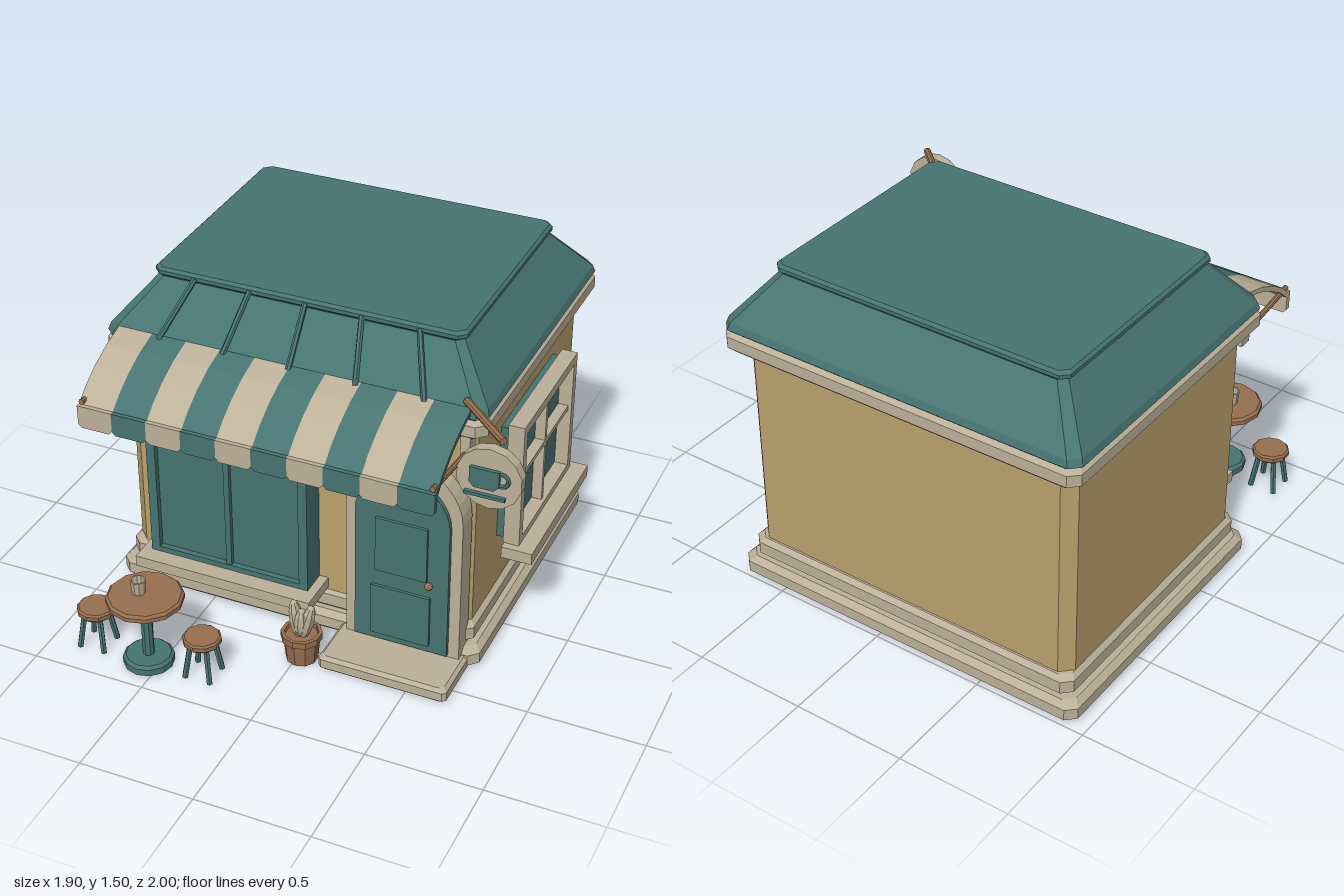
import * as THREE from 'three';

const mat = (name, color) => {
  const m = new THREE.MeshStandardMaterial({ color, flatShading: true });
  m.name = name;
  return m;
};

export function createModel() {
  const root = new THREE.Group();
  root.name = 'cafe';
  const teal = mat('teal', 0x477472);
  const wall = mat('ochre wall', 0xbaa26d);
  const cream = mat('cream', 0xbcb099);
  const wood = mat('wood', 0x976f50);

  const add = (name, geo, material, x = 0, y = 0, z = 0, parent = root) => {
    const m = new THREE.Mesh(geo, material);
    m.name = name;
    m.position.set(x, y, z);
    parent.add(m);
    return m;
  };
  // Box from its minimum and maximum corners
  const box = (name, material, x0, x1, y0, y1, z0, z1) =>
    add(name, new THREE.BoxGeometry(x1 - x0, y1 - y0, z1 - z0), material,
      (x0 + x1) / 2, (y0 + y1) / 2, (z0 + z1) / 2);
  // Round bar between two points
  const bar = (name, material, a, b, r, sides = 8, parent = root) => {
    const p = new THREE.Vector3(...a), q = new THREE.Vector3(...b);
    const m = add(name, new THREE.CylinderGeometry(r, r, p.distanceTo(q), sides), material, 0, 0, 0, parent);
    m.position.copy(p).add(q).multiplyScalar(0.5);
    m.quaternion.setFromUnitVectors(new THREE.Vector3(0, 1, 0), q.sub(p).normalize());
    return m;
  };
  // Upright turned part from [radius, y] points
  const turned = (name, material, pts, sides, x, z, parent = root) =>
    add(name, new THREE.LatheGeometry(pts.map(p => new THREE.Vector2(...p)), sides), material, x, 0, z, parent);
  // Stack of rectangles with cut corners: [y, half width, half depth, corner]
  const loft = (rings) => {
    const pos = [];
    const loops = rings.map(([y, w, d, c]) => [
      [w, y, c - d], [w, y, d - c], [w - c, y, d], [c - w, y, d],
      [-w, y, d - c], [-w, y, c - d], [c - w, y, -d], [w - c, y, -d]]);
    const tri = (...p) => p.forEach(v => pos.push(...v));
    for (let k = 0; k < loops.length - 1; k++) {
      for (let i = 0; i < 8; i++) {
        const j = (i + 1) % 8, lo = loops[k], hi = loops[k + 1];
        tri(lo[i], hi[i], hi[j]);
        tri(lo[i], hi[j], lo[j]);
      }
    }
    const bottom = loops[0], top = loops[loops.length - 1];
    for (let i = 1; i < 7; i++) {
      tri(bottom[0], bottom[i], bottom[i + 1]);
      tri(top[0], top[i + 1], top[i]);
    }
    const g = new THREE.BufferGeometry();
    g.setAttribute('position', new THREE.Float32BufferAttribute(pos, 3));
    g.computeVertexNormals();
    return g;
  };
  // Slab with bevelled upper and lower edges
  const slab = (w, d, y0, y1, b, c = 0.04) => loft([
    [y0, w - b, d - b, c], [y0 + b, w, d, c], [y1 - b, w, d, c], [y1, w - b, d - b, c]]);
  const extrude = (shape, depth) =>
    new THREE.ExtrudeGeometry(shape, { depth, bevelEnabled: false, curveSegments: 8 });

  // Building shell
  const cx = -0.115, cz = -0.32;
  add('foundation', slab(0.835, 0.675, 0, 0.1, 0.025), cream, cx, 0, cz);
  add('plinth', slab(0.795, 0.645, 0.1, 0.195, 0.02), cream, cx, 0, cz);
  add('walls', loft([[0.18, 0.775, 0.623, 0.05], [1.15, 0.775, 0.623, 0.05]]), wall, cx, 0, -0.313);
  add('cornice', slab(0.835, 0.685, 1.13, 1.23, 0.025), cream, cx, 0, cz);
  add('roof', loft([[1.225, 0.825, 0.67, 0.04], [1.235, 0.835, 0.68, 0.04],
    [1.265, 0.825, 0.67, 0.04], [1.46, 0.665, 0.51, 0.03]]), teal, cx, 0, cz);
  add('roofCap', slab(0.68, 0.52, 1.46, 1.5, 0.012, 0.03), teal, cx, 0, cz);

  // Fanned seams on the front roof slope
  for (let i = -2; i <= 2; i++) {
    bar('roofSeam', teal, [cx + i * 0.245, 1.48, 0.195], [cx + i * 0.29, 1.265, 0.36], 0.012, 6);
  }

  // Striped awning with cut-cornered valance flaps
  const curve = [[0.34, 1.275], [0.45, 1.245], [0.55, 1.2], [0.63, 1.15], [0.7, 1.09]];
  const profile = new THREE.Shape([
    ...curve.map(([z, y]) => new THREE.Vector2(z, y)),
    ...curve.slice().reverse().map(([z, y]) => new THREE.Vector2(z - 0.012, y - 0.018))]);
  const sw = 0.154;
  for (let i = 0; i < 10; i++) {
    const x = -0.885 + i * sw, m = i % 2 ? teal : cream;
    const g = extrude(profile, sw);
    g.rotateY(-Math.PI / 2);
    add('awningStripe', g, m, x + sw, 0, 0);
    const flap = new THREE.Shape([[0, 1.1], [0, 1.015], [0.015, 1], [sw - 0.015, 1], [sw, 1.015], [sw, 1.1]]
      .map(p => new THREE.Vector2(...p)));
    add('awningFlap', extrude(flap, 0.025), m, x, 0, 0.682);
  }
  for (const x of [-0.87, 0.64]) {
    bar('awningArm', wood, [x, 1.065, 0.33], [x, 1.115, 0.695], 0.012);
    box('awningMount', cream, x - 0.02, x + 0.02, 1.04, 1.16, 0.3, 0.36);
  }

  // Shop window
  box('shopWindowPane', teal, -0.73, -0.025, 0.25, 0.97, 0.29, 0.405);
  box('shopWindowJamb', teal, -0.745, -0.705, 0.25, 0.985, 0.3, 0.43);
  box('shopWindowJamb', teal, -0.05, -0.01, 0.25, 0.985, 0.3, 0.43);
  box('shopWindowHead', teal, -0.705, -0.05, 0.945, 0.985, 0.3, 0.43);
  box('shopWindowFoot', teal, -0.705, -0.05, 0.25, 0.275, 0.3, 0.43);
  box('shopWindowMullion', teal, -0.39, -0.365, 0.275, 0.945, 0.4, 0.425);
  box('shopWindowSill', cream, -0.785, 0.03, 0.2, 0.25, 0.3, 0.505);

  // Arched door and surround
  const arch = (Type, r, y0, spring) => {
    const s = new Type();
    s.moveTo(-r, y0);
    s.lineTo(r, y0);
    s.lineTo(r, spring);
    s.absarc(0, spring, r, 0, Math.PI, false);
    s.lineTo(-r, y0);
    return s;
  };
  const surround = arch(THREE.Shape, 0.253, 0.06, 0.737);
  surround.holes.push(arch(THREE.Path, 0.205, 0.08, 0.715));
  add('doorSurround', extrude(surround, 0.1), cream, 0.4, 0, 0.285);
  add('door', extrude(arch(THREE.Shape, 0.206, 0.085, 0.715), 0.115), teal, 0.4, 0, 0.29);
  box('doorUpperPanel', teal, 0.288, 0.515, 0.445, 0.705, 0.4, 0.418);
  box('doorLowerPanel', teal, 0.27, 0.53, 0.12, 0.365, 0.4, 0.418);
  add('doorKnob', new THREE.IcosahedronGeometry(0.018, 1), wood, 0.53, 0.44, 0.43);
  add('doorStep', slab(0.285, 0.165, 0, 0.07, 0.015, 0.015), cream, 0.395, 0, 0.435);

  // Side window on the left wall
  box('sideWindowPane', teal, 0.64, 0.705, 0.45, 0.99, -0.62, 0);
  box('sideWindowJamb', cream, 0.695, 0.765, 0.43, 1.015, -0.025, 0.015);
  box('sideWindowJamb', cream, 0.695, 0.765, 0.43, 1.015, -0.635, -0.597);
  box('sideWindowHead', cream, 0.695, 0.765, 0.973, 1.015, -0.597, -0.025);
  box('sideWindowFoot', cream, 0.695, 0.765, 0.43, 0.465, -0.597, -0.025);
  box('sideWindowMullion', cream, 0.7, 0.75, 0.465, 0.973, -0.322, -0.3);
  box('sideWindowTransom', cream, 0.7, 0.75, 0.745, 0.767, -0.597, -0.025);
  box('sideWindowSill', cream, 0.7, 0.835, 0.382, 0.435, -0.672, 0.05);

  // Hanging round sign with a cup
  bar('signPole', wood, [0.63, 1.295, 0.33], [0.857, 1.295, 0.54], 0.016);
  const disc = new THREE.CylinderGeometry(0.133, 0.133, 0.045, 14);
  disc.rotateX(Math.PI / 2);
  add('signDisc', disc, cream, 0.82, 1.14, 0.557);
  const cup = new THREE.Shape([[0.745, 1.187], [0.745, 1.12], [0.765, 1.1], [0.845, 1.1], [0.865, 1.12], [0.865, 1.187]]
    .map(p => new THREE.Vector2(...p)));
  add('signCup', extrude(cup, 0.02), teal, 0, 0, 0.575);
  add('signCupHandle', new THREE.TorusGeometry(0.028, 0.009, 6, 12), teal, 0.872, 1.15, 0.585);
  box('signSaucer', teal, 0.725, 0.89, 1.06, 1.074, 0.575, 0.595);

  // Table with a mug
  turned('tableTop', wood, [[0, 0.308], [0.15, 0.308], [0.163, 0.318], [0.163, 0.337], [0.152, 0.348], [0, 0.348]], 12, -0.556, 0.83);
  bar('tablePost', teal, [-0.556, 0.03, 0.83], [-0.556, 0.31, 0.83], 0.025);
  turned('tableFoot', teal, [[0, 0], [0.108, 0], [0.108, 0.03], [0.095, 0.042], [0, 0.042]], 12, -0.556, 0.83);
  turned('mug', cream, [[0, 0.348], [0.028, 0.348], [0.034, 0.41], [0.028, 0.41], [0.025, 0.365], [0, 0.365]], 10, -0.585, 0.83);

  // Stools
  for (const x of [-0.805, -0.308]) {
    const stool = new THREE.Group();
    stool.name = 'stool';
    stool.position.set(x, 0, 0.815);
    root.add(stool);
    turned('stoolSeat', wood, [[0, 0.165], [0.075, 0.165], [0.082, 0.173], [0.082, 0.192], [0.074, 0.2], [0, 0.2]], 10, 0, 0, stool);
    for (let i = 0; i < 4; i++) {
      const a = Math.PI / 4 + i * Math.PI / 2, c = Math.cos(a), s = Math.sin(a);
      bar('stoolLeg', teal, [c * 0.05, 0.17, s * 0.05], [c * 0.08, 0.005, s * 0.08], 0.013, 6, stool);
    }
  }

  // Potted plant
  turned('pot', wood, [[0, 0], [0.068, 0], [0.078, 0.105], [0.088, 0.105], [0.088, 0.135], [0.072, 0.135], [0.07, 0.118], [0, 0.118]], 10, 0.017, 0.55);
  for (const [x, z, tilt, h] of [[-0.005, 0.55, 0.16, 0.1], [0.043, 0.55, -0.25, 0.095], [0.02, 0.56, -0.05, 0.07]]) {
    const g = new THREE.SphereGeometry(1, 8, 6);
    g.scale(0.03, h, 0.033);
    add('leaf', g, cream, x, 0.19, z).rotation.z = tilt;
  }
  return root;
}
